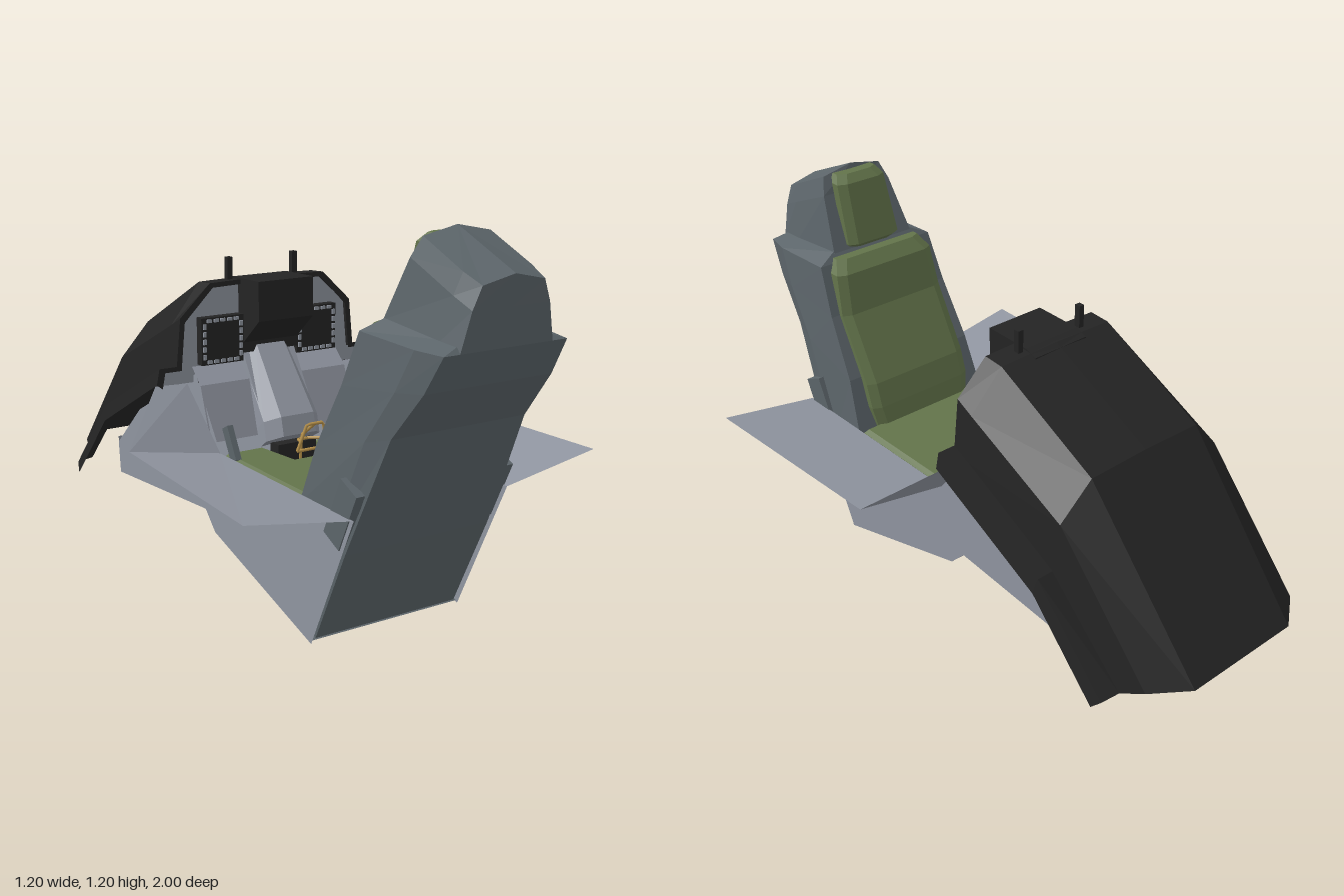
import * as THREE from 'three';

const mat = (name, color) => {
  const m = new THREE.MeshStandardMaterial({ color, side: THREE.DoubleSide });
  m.name = name;
  return m;
};

export function createModel() {
  const root = new THREE.Group();
  const black = mat('hood black', 0x242424);
  const grey = mat('tub grey', 0x9095a0);
  const shell = mat('seat shell grey', 0x5c656a);
  const green = mat('cushion green', 0x62734a);
  const yellow = mat('handle yellow', 0xb8924a);

  const add = (name, geo, m, parent = root) => {
    const mesh = new THREE.Mesh(geo, m);
    mesh.name = name;
    parent.add(mesh);
    return mesh;
  };
  const box = (name, m, w, h, d, x, y, z, parent = root) => {
    const b = add(name, new THREE.BoxGeometry(w, h, d), m, parent);
    b.position.set(x, y, z);
    return b;
  };
  // faceted surface through rows of [x, y, z] points
  const sheet = (rows, closed = false, caps = false) => {
    const out = [];
    const tri = (a, b, c) => out.push(...a, ...b, ...c);
    for (let i = 0; i + 1 < rows.length; i++) {
      const a = rows[i], b = rows[i + 1], n = a.length;
      for (let j = 0; j < (closed ? n : n - 1); j++) {
        const k = (j + 1) % n;
        tri(a[j], a[k], b[j]);
        tri(a[k], b[k], b[j]);
      }
    }
    if (caps) {
      const f = rows[0], l = rows[rows.length - 1];
      for (let j = 1; j + 1 < f.length; j++) {
        tri(f[0], f[j + 1], f[j]);
        tri(l[0], l[j], l[j + 1]);
      }
    }
    const g = new THREE.BufferGeometry();
    g.setAttribute('position', new THREE.Float32BufferAttribute(out, 3));
    g.computeVertexNormals();
    return g;
  };
  // half row (x >= 0, centre first) to a full row
  const full = (half) => [
    ...half.slice().reverse().filter((p) => p[0] > 0).map(([x, y, z]) => [-x, y, z]), ...half];
  // straight strip across the model along a [z, y] path
  const strip = (path, x0, x1) => sheet(path.map(([z, y]) => [[x0, y, z], [x1, y, z]]));
  const shape = (pts) => new THREE.Shape(pts.map((p) => new THREE.Vector2(...p)));
  // [z, y] profile extruded across x
  const prism = (pts, w) => new THREE.ExtrudeGeometry(shape(pts), { depth: w, bevelEnabled: false })
    .translate(0, 0, -w / 2).rotateY(-Math.PI / 2);

  // ---- hood over the instruments, an open shell
  const s0 = [[0, .935, -.15], [.21, .93, -.15], [.315, .83, -.15], [.33, .68, -.15], [.39, .68, -.15], [.4, .63, -.15]];
  const hoodRows = [
    s0.map(([x, y, z]) => [x * .95, y - .015, z]),
    s0,
    [[0, .93, -.22], [.21, .925, -.22], [.315, .8, -.21], [.33, .65, -.21], [.39, .65, -.21], [.4, .6, -.21]],
    [[0, .74, -.59], [.21, .735, -.59], [.315, .625, -.58], [.33, .47, -.57], [.385, .47, -.57], [.395, .42, -.56]],
    [[0, .25, -1], [.2, .25, -1], [.31, .25, -.92], [.325, .205, -.84], [.385, .2, -.83], [.395, .17, -.8]],
  ];
  add('hood', sheet(hoodRows.map(full)), black);
  add('glareShield', prism([[-.04, .94], [-.04, .815], [-.15, .72], [-.3, .72], [-.24, .92], [-.2, .935]], .2), black);

  // ---- instrument panel with two displays
  const half = [[.2, .915], [.3, .825], [.315, .67], [.385, .665], [.39, .62]];
  const panel = new THREE.ShapeGeometry(shape([...half, ...half.slice().reverse().map(([x, y]) => [-x, y])]));
  add('instrumentPanel', panel.translate(0, 0, -.165), grey);
  add('kneePanel', strip([[-.164, .67], [-.11, .62], [-.05, .45]], -.27, .27), grey);
  box('centrePanel', black, .2, .2, .03, 0, .8, -.15);

  for (const s of [1, -1]) {
    const display = new THREE.Group();
    display.name = s > 0 ? 'leftDisplay' : 'rightDisplay';
    display.position.set(s * .175, .75, -.15);
    root.add(display);
    box('bezel', black, .15, .15, .03, 0, 0, 0, display);
    for (let i = -2; i <= 2; i++) for (const e of [1, -1]) {
      box('sideButton', grey, .01, .016, .008, e * .065, i * .024, .017, display);
      box('edgeButton', grey, .016, .01, .008, i * .024, e * .065, .017, display);
    }
    box('post', black, .018, .08, .02, s * .12, .96, -.19);

    // ---- tub side, sill and footwell
    const side = new THREE.ShapeGeometry(shape([[.71, .43], [.51, 0], [-.04, .16], [-.1, .22],
      [-.73, .17], [-.74, .28], [-.56, .44], [-.15, .65], [0, .43]]));
    add('tubSide', side.rotateY(-Math.PI / 2).translate(s * .265, 0, 0), grey);
    add('sill', sheet([
      [[s * .265, .43, .71], [s * .6, .485, .71]],
      [[s * .265, .43, 0], [s * .57, .485, 0]],
      [[s * .29, .62, -.16], [s * .4, .625, -.16]],
    ]), grey);
    add('footwellFloor', strip([[-.1, .22], [-.73, .17]], s * .1, s * .265), grey);
    add('footwellWall', sheet([
      [[s * .1, .22, -.1], [s * .1, .17, -.73]],
      [[s * .1, .45, -.1], [s * .1, .32, -.73]],
    ]), grey);
    const fairing = box('seatFairing', shell, .028, .19, .08, s * .255, .43, .65);
    fairing.rotation.x = .43;
    const lever = box('sideLever', shell, .02, .11, .035, s * .235, .46, .02);
    lever.rotation.x = -.5;
  }
  add('floorStep', strip([[-.04, .16], [-.1, .22]], -.265, .265), grey);
  add('bulkhead', strip([[-.73, .17], [-.74, .3]], -.265, .265), grey);

  // ---- pedestal between the legs
  const ped = [[-.15, .74, .05, .09], [.025, .52, .06, .1], [.04, .46, .06, .1], [-.03, .42, .06, .1]];
  add('pedestal', sheet(ped.map(([z, y, a, b]) => full([[a, y, z], [b, y - .02, z - .04], [b, y - .08, z - .12]]))), grey);
  add('pedestalCore', prism([[-.16, .72], [-.02, .5], [-.05, .42], [-.68, .3], [-.5, .5]], .19), grey);
  box('controlBox', black, .14, .06, .05, 0, .4, 0);

  // ---- seat shell: levels of [side x, front y, front z, back x, back y, back z, crown]
  const ring = ([xs, yf, zf, xb, yb, zb, c = 0]) => {
    const t = .72, ym = yf + (yb - yf) * t, zm = zf + (zb - zf) * t;
    const right = [[xs, yf, zf], [xs, ym, zm], [xb, yb, zb]];
    return [[0, yf + c, zf], ...right, [0, yb + c, zb + c * .2],
      ...right.slice().reverse().map(([x, y, z]) => [-x, y, z])];
  };
  add('seatShell', sheet([
    [.255, .1, .43, .25, .015, .51], [.26, .4, .44, .25, .31, .65], [.245, .58, .5, .225, .67, .81],
    [.232, .77, .6, .21, .81, .92], [.22, .925, .66, .2, .915, .98], [.155, .955, .68, .15, .93, .965],
  ].map(ring), true, true), shell);
  add('headrestShell', sheet([
    [.155, .95, .675, .15, .915, .98], [.13, 1.12, .75, .125, 1.02, .99], [.11, 1.175, .775, .1, 1.08, .995, .022],
  ].map(ring), true, true), shell);
  add('seatFloor', strip([[.51, .01], [-.04, .16]], -.26, .26), shell);
  box('seatBase', shell, .48, .16, .44, 0, .25, .22);

  // ---- cushions: levels of [y, front z, half width]
  const pad = (levels, depth) => sheet(levels.map(([y, z, w]) => [
    [-w, y, z + depth], [-w, y, z + .015], [-w + .03, y, z], [w - .03, y, z], [w, y, z + .015], [w, y, z + depth],
  ]), true, true);
  add('backCushion', pad([[.37, .41, .18], [.48, .43, .2], [.56, .455, .2], [.77, .57, .2], [.9, .6, .19], [.94, .635, .165]], .05), green);
  add('headCushion', pad([[.95, .67, .085], [.965, .655, .1], [1.155, .71, .092], [1.18, .735, .075]], .045), green);
  const pan = new THREE.ExtrudeGeometry(shape([[-.23, -.01], [-.11, -.01], [-.09, .15], [.09, .15],
    [.11, -.01], [.23, -.01], [.23, .43], [-.23, .43]]),
  { depth: .07, bevelThickness: .015, bevelSize: .012, bevelSegments: 1 });
  add('seatCushion', pan.rotateX(Math.PI / 2).translate(0, .405, 0), green);

  // ---- pull handle
  const bar = (name, pts) => {
    const path = new THREE.CurvePath();
    const v = pts.map((p) => new THREE.Vector3(...p));
    for (let i = 0; i + 1 < v.length; i++) path.add(new THREE.LineCurve3(v[i], v[i + 1]));
    add(name, new THREE.TubeGeometry(path, 24, .005, 6), yellow);
  };
  bar('handleLoop', [[-.055, .43, .11], [-.03, .515, .125], [.03, .515, .125], [.055, .43, .11], [-.055, .43, .11]]);
  bar('handleStem', [[0, .515, .125], [0, .46, .05], [0, .36, .04]]);
  bar('handleBrace', [[-.045, .46, .115], [-.02, .45, .06], [.02, .45, .06], [.045, .46, .115]]);

  return root;
}
